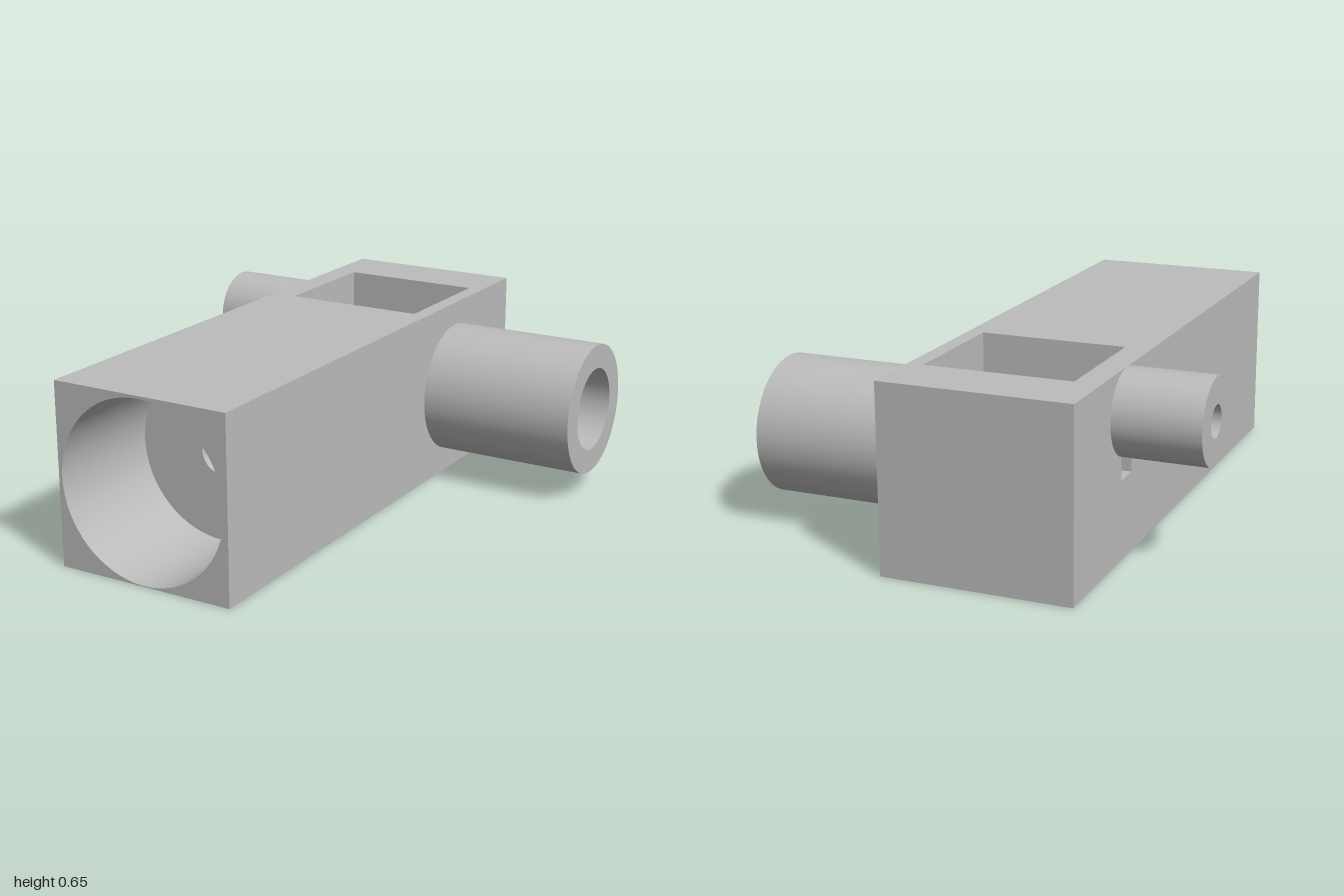
import * as THREE from 'three';
import { toCreasedNormals } from 'three/addons/utils/BufferGeometryUtils.js';

// Body limits, shared axis heights and pocket limits
const X0 = -0.47, X1 = 0.195, H = 0.65;
const CX = -0.138, CY = 0.322, PZ = -0.545;
const PX0 = -0.38, PX1 = 0.14, PW = 0.228;
const LEDGE = 0.26;

export function createModel() {
  const model = new THREE.Group();
  const grey = new THREE.MeshStandardMaterial({ color: 0xbcbcbc, side: THREE.DoubleSide });
  grey.name = 'grey';

  const add = (name, geometry, parent = model) => {
    const mesh = new THREE.Mesh(geometry, grey);
    mesh.name = name;
    parent.add(mesh);
    return mesh;
  };

  const circle = (u, v, r) => new THREE.Path().absarc(u, v, r, 0, Math.PI * 2, false);
  const polygon = (points) => new THREE.Path(points.map(([u, v]) => new THREE.Vector2(u, v)));
  const rect = (a, b, c, d) => polygon([[a, c], [b, c], [b, d], [a, d], [a, c]]);

  // Flat panel with holes; axis is the direction it faces
  const panel = (name, axis, offset, outline, holes = []) => {
    const shape = new THREE.Shape(outline.getPoints());
    shape.holes = holes;
    const g = new THREE.ShapeGeometry(shape, 32);
    if (axis === 'x') g.rotateY(-Math.PI / 2).translate(offset, 0, 0); // (z, y)
    if (axis === 'y') g.rotateX(Math.PI / 2).translate(0, offset, 0); // (x, z)
    if (axis === 'z') g.translate(0, 0, offset); // (x, y)
    return add(name, g);
  };

  // Turned surface along x or z; each [radius, position] step keeps a sharp edge
  const turned = (name, axis, steps, a, b) => {
    const group = new THREE.Group();
    group.name = name;
    for (let i = 0; i < steps.length - 1; i++) {
      const pair = [steps[i], steps[i + 1]].map(([r, p]) => new THREE.Vector2(r, p));
      const g = new THREE.LatheGeometry(pair, 64);
      if (axis === 'x') g.rotateZ(-Math.PI / 2).translate(0, a, b);
      else g.rotateX(Math.PI / 2).translate(a, b, 0);
      add(name + 'Step' + (i + 1), g, group);
    }
    model.add(group);
  };

  // Wall that follows a (z, y) path and runs from xa to xb
  const wall = (name, path, xa, xb) => {
    const position = [], index = [];
    path.forEach(([z, y], i) => {
      position.push(xa, y, z, xb, y, z);
      if (i) index.push(2 * i - 2, 2 * i - 1, 2 * i, 2 * i - 1, 2 * i + 1, 2 * i);
    });
    const g = new THREE.BufferGeometry();
    g.setAttribute('position', new THREE.Float32BufferAttribute(position, 3));
    g.setIndex(index);
    return add(name, toCreasedNormals(g, 0.5));
  };

  // Rectangular slot through the right-hand wall
  const slot = [[-0.588, 0.28], [-0.492, 0.28], [-0.492, 0.365], [-0.588, 0.365], [-0.588, 0.28]];
  const smallY = 0.502, smallR = 0.148;

  // Outer block
  const side = rect(-1, 1, 0, H), end = rect(X0, X1, 0, H), flat = rect(X0, X1, -1, 1);
  panel('frontFace', 'z', 1, end, [circle(CX, CY, 0.319)]);
  panel('backFace', 'z', -1, end);
  panel('bottomFace', 'y', 0, flat);
  panel('topFace', 'y', H, flat, [rect(PX0, PX1, PZ - PW, PZ + PW)]);
  panel('leftFace', 'x', X1, side, [circle(PZ, CY, 0.153)]);
  panel('rightFace', 'x', X0, side, [polygon(slot), circle(PZ, smallY, 0.055)]);

  // Pocket: straight upper walls, narrow ledge and a round trough
  const trough = [];
  const start = Math.asin((CY - LEDGE) / PW);
  for (let i = 0; i <= 32; i++) {
    const t = Math.PI + start + (Math.PI - 2 * start) * i / 32;
    trough.push([PZ + PW * Math.cos(t), CY + PW * Math.sin(t)]);
  }
  wall('pocketTrough', trough, PX0, PX1);
  for (const s of [-1, 1]) {
    const edge = trough[s < 0 ? 0 : 32];
    wall('pocketLedge', [[PZ + s * PW, LEDGE], edge], PX0, PX1);
    panel(s < 0 ? 'pocketBackWall' : 'pocketFrontWall', 'z', PZ + s * PW,
      rect(PX0, PX1, LEDGE, H), s > 0 ? [circle(CX, CY, 0.055)] : []);
  }
  const pocketEnd = polygon([[PZ - PW, H], [PZ - PW, LEDGE], ...trough, [PZ + PW, LEDGE], [PZ + PW, H]]);
  panel('pocketLeftWall', 'x', PX1, pocketEnd, [circle(PZ, CY, 0.055)]);
  panel('pocketRightWall', 'x', PX0, pocketEnd, [polygon(slot), circle(PZ, smallY, 0.055)]);
  wall('slotWall', slot, X0, PX0);

  // Stepped main bore from the front into the pocket
  turned('mainBore', 'z', [[0.319, 1], [0.319, 0.55], [0.077, 0.55], [0.077, 0],
    [0.055, 0], [0.055, PZ + PW]], CX, CY);

  // Large side tube with a stepped bore
  turned('largeTube', 'x', [[0.242, X1], [0.242, 0.77], [0.153, 0.77], [0.153, 0.19],
    [0.055, 0.19], [0.055, PX1]], CY, PZ);

  // Small side tube with a narrow bore
  turned('smallTube', 'x', [[smallR, X0], [smallR, -0.77], [0.055, -0.77], [0.055, PX0]], smallY, PZ);

  return model;
}
